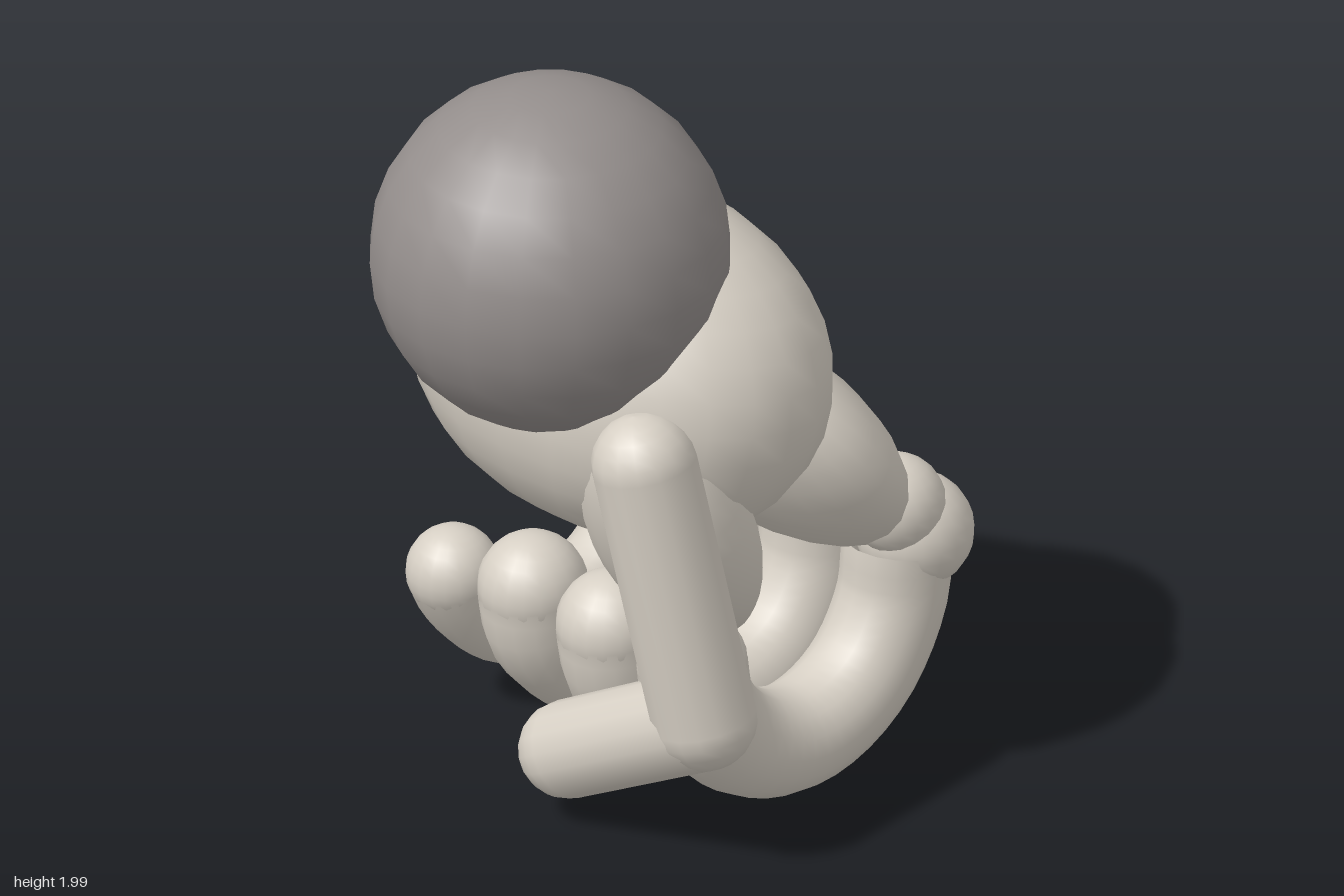
import * as THREE from 'three';
import { mergeVertices } from 'three/addons/utils/BufferGeometryUtils.js';

const skin = new THREE.MeshStandardMaterial({ color: 0xd6cfc4 });
skin.name = 'pale skin';
const cuff = new THREE.MeshStandardMaterial({ color: 0x948e8c });
cuff.name = 'wrist grey';

const V = (x, y, z) => new THREE.Vector3(x, y, z);

function add(parent, name, geometry, material = skin) {
  const mesh = new THREE.Mesh(geometry, material);
  mesh.name = name;
  parent.add(mesh);
  return mesh;
}

function ball(parent, name, x, y, z, r, material = skin) {
  add(parent, name, new THREE.SphereGeometry(r, 20, 14), material).position.set(x, y, z);
}

// Ellipsoid with ends squared off along z (power below 1), tilted in the xy plane
function pad(parent, name, centre, size, tilt, power) {
  let geo = new THREE.SphereGeometry(1, 24, 16);
  const p = geo.attributes.position;
  for (let i = 0; i < p.count; i++) {
    const z = p.getZ(i);
    p.setZ(i, Math.sign(z) * Math.abs(z) ** power);
  }
  geo.deleteAttribute('uv');
  geo.deleteAttribute('normal');
  geo = mergeVertices(geo, 1e-4);
  geo.scale(...size);
  geo.computeVertexNormals();
  const mesh = add(parent, name, geo);
  mesh.position.set(...centre);
  mesh.rotation.z = tilt;
}

// Round-ended limb from a to b with a radius at each end
function limb(parent, name, a, b, ra, rb) {
  const length = a.distanceTo(b);
  const profile = [];
  for (let i = 0; i <= 6; i++) {
    const t = -Math.PI / 2 + (i / 6) * (Math.PI / 2);
    profile.push(new THREE.Vector2(i ? ra * Math.cos(t) : 0, ra * Math.sin(t)));
  }
  for (let i = 0; i <= 6; i++) {
    const t = (i / 6) * (Math.PI / 2);
    profile.push(new THREE.Vector2(i < 6 ? rb * Math.cos(t) : 0, length + rb * Math.sin(t)));
  }
  const mesh = add(parent, name, new THREE.LatheGeometry(profile, 16));
  mesh.position.copy(a);
  mesh.quaternion.setFromUnitVectors(V(0, 1, 0), b.clone().sub(a).normalize());
}

export function createModel() {
  const hand = new THREE.Group();
  hand.name = 'fist';

  // Wrist and the two main masses of the hand
  ball(hand, 'wrist', -0.285, 1.545, -0.035, 0.455, cuff);
  pad(hand, 'handHeel', [-0.03, 1.165, -0.042], [0.435, 0.45, 0.605], -0.15, 0.9);
  pad(hand, 'knucklePalm', [0.31, 0.88, -0.05], [0.21, 0.42, 0.592], 0.64, 0.72);

  // Curled fingers: z, tube radius, knuckle radius, lift, tip height
  const fingers = [
    ['indexFinger', 0.36, 0.14, 0.15, 0, 0.49],
    ['middleFinger', 0.075, 0.143, 0.146, 0, 0.49],
    ['ringFinger', -0.21, 0.14, 0.142, 0.012, 0.49],
    ['littleFinger', -0.495, 0.12, 0.132, 0.02, 0.42],
  ];
  fingers.forEach(([name, z, r, knuckle, lift, tipY], i) => {
    const finger = new THREE.Group();
    finger.name = name;
    hand.add(finger);
    const kz = z + (i === 0 ? 0.018 : 0.005);
    const kx = 0.583 - (i === 3 ? 0.015 : 0);
    ball(finger, 'knuckle', kx, 0.59, kz, knuckle);
    ball(finger, 'upperKnuckle', 0.515, 0.69, kz, i === 3 ? 0.118 : 0.128);
    const path = new THREE.CatmullRomCurve3([
      V(0.54, 0.57, z),
      V(0.52, 0.42, z),
      V(0.43, 0.265 + lift, z),
      V(0.31, 0.18 + lift, z),
      V(0.17, 0.15 + lift, z),
      V(0.03, 0.185 + lift, z),
      V(-0.09, 0.275 + lift, z),
      V(-0.155, 0.38, z),
      V(-0.175, tipY, z),
    ]);
    add(finger, 'curl', new THREE.TubeGeometry(path, 24, r, 16, false));
    ball(finger, 'tip', -0.175, tipY, z, r);
  });

  // Thumb: fleshy base, two bent segments
  const thumb = new THREE.Group();
  thumb.name = 'thumb';
  hand.add(thumb);
  pad(thumb, 'thumbBase', [-0.185, 0.87, 0.29], [0.185, 0.38, 0.23], 0.42, 0.9);
  limb(thumb, 'thumbUpper', V(-0.36, 1.13, 0.38), V(-0.28, 0.43, 0.51), 0.135, 0.135);
  limb(thumb, 'thumbTip', V(-0.28, 0.42, 0.5), V(-0.335, 0.195, 0.08), 0.13, 0.125);
  return hand;
}
